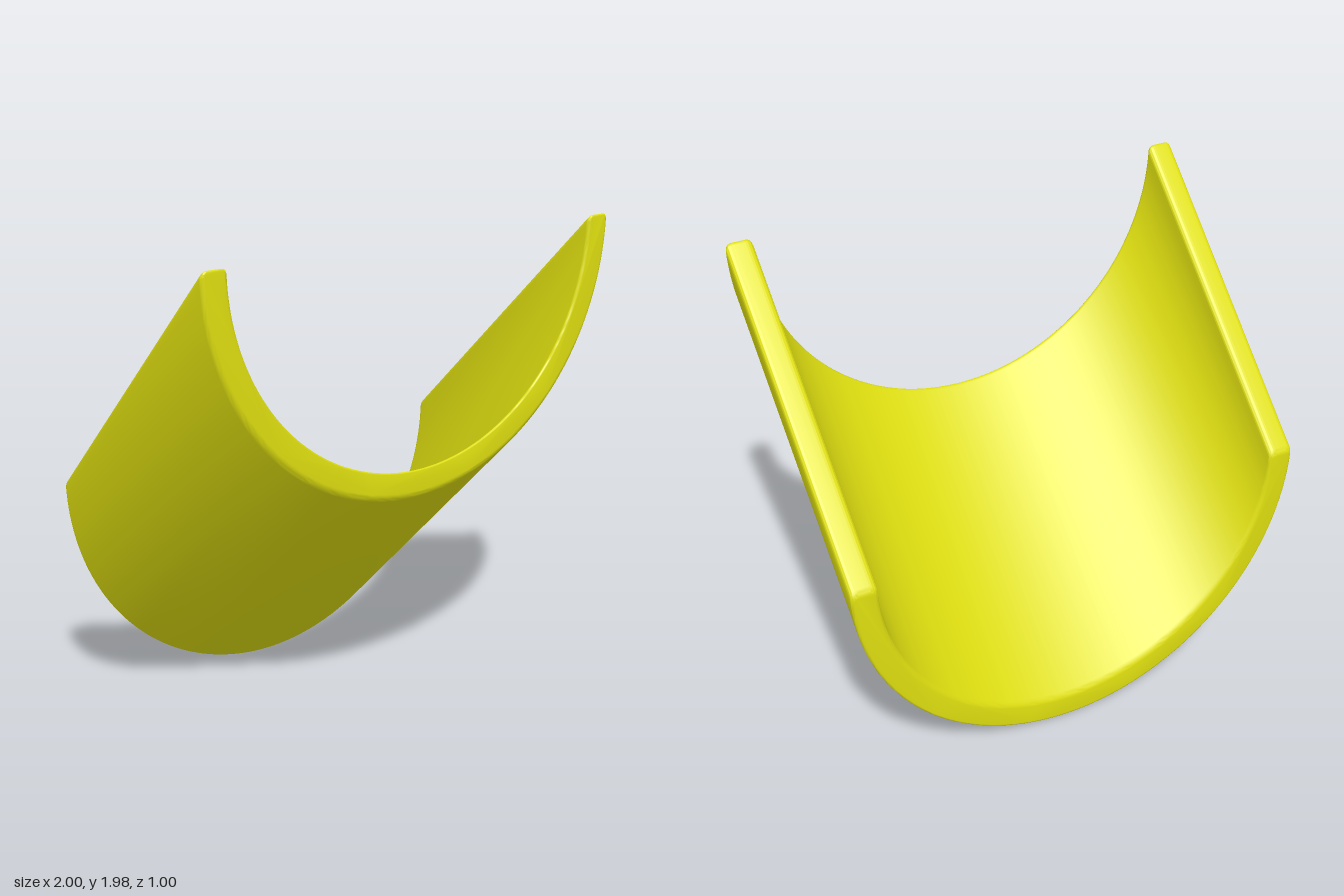
import * as THREE from 'three';
import { toCreasedNormals } from 'three/addons/utils/BufferGeometryUtils.js';

const OUTER = 1, INNER = 0.89, DEPTH = 1, ROUND = 0.03, BEVEL = 0.015;

// Half-ring cross-section, open at the top, with rounded rims
function troughProfile() {
  const s = new THREE.Shape();
  const a = ROUND / OUTER, b = ROUND / INNER;
  s.absarc(0, 1, OUTER, Math.PI + a, 2 * Math.PI - a, false);
  s.quadraticCurveTo(OUTER, 1, OUTER - ROUND, 1);
  s.lineTo(INNER + ROUND, 1);
  s.quadraticCurveTo(INNER, 1, INNER * Math.cos(b), 1 - INNER * Math.sin(b));
  s.absarc(0, 1, INNER, 2 * Math.PI - b, Math.PI + b, true);
  s.quadraticCurveTo(-INNER, 1, -INNER - ROUND, 1);
  s.lineTo(-OUTER + ROUND, 1);
  s.quadraticCurveTo(-OUTER, 1, -OUTER * Math.cos(a), 1 - OUTER * Math.sin(a));
  return s;
}

export function createModel() {
  const group = new THREE.Group();
  group.name = 'slopedTrough';

  const geometry = new THREE.ExtrudeGeometry(troughProfile(), {
    depth: DEPTH - 2 * BEVEL,
    curveSegments: 48,
    bevelEnabled: true,
    bevelThickness: BEVEL,
    bevelSize: BEVEL,
    bevelOffset: -BEVEL,
    bevelSegments: 4,
  });
  geometry.translate(0, 0, BEVEL - DEPTH / 2);

  // Slope the trough upward to the front while both ends stay vertical
  const p = geometry.attributes.position;
  for (let i = 0; i < p.count; i++) p.setY(i, p.getY(i) + p.getZ(i) + DEPTH / 2);

  const material = new THREE.MeshStandardMaterial({ color: 0xdede10 });
  const trough = new THREE.Mesh(toCreasedNormals(geometry, 0.9), material);
  trough.name = 'halfPipe';
  group.add(trough);
  return group;
}
